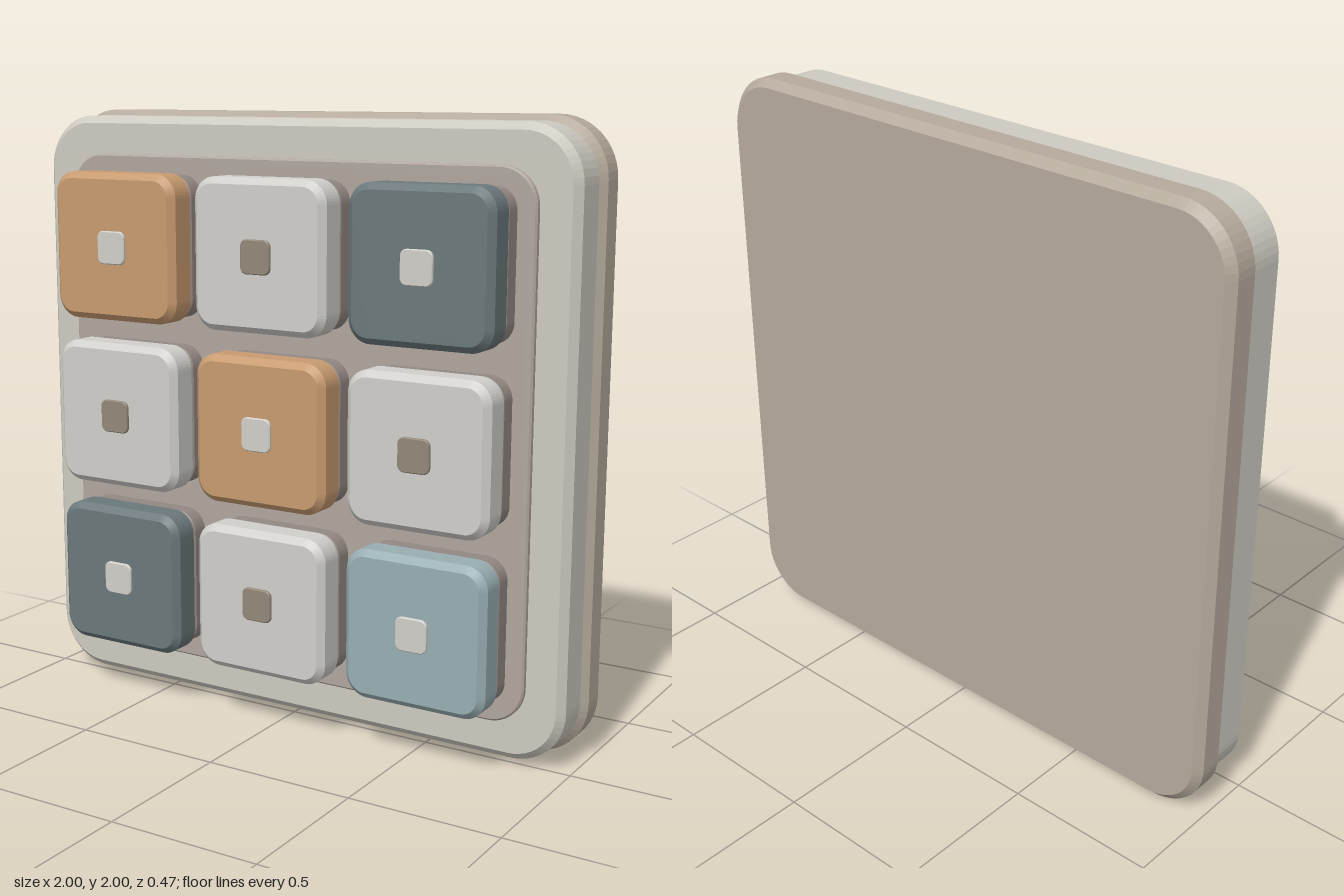
import * as THREE from 'three';

const paint = (color) => new THREE.MeshStandardMaterial({ color });
const COLORS = {
  orange: paint(0xc89b70), light: paint(0xd0cfcb), dark: paint(0x6b787b), blue: paint(0x98aeb2),
  frame: paint(0xcccac0), base: paint(0xb5aa9c), panel: paint(0xb0a69f),
  plinth: paint(0x938883), pipDark: paint(0x938779), pipLight: paint(0xd0cfc8),
};

// Square outline with rounded corners
function roundedSquare(half, r) {
  const s = new THREE.Shape();
  const c = half - r;
  s.absarc(c, c, r, 0, Math.PI / 2);
  s.absarc(-c, c, r, Math.PI / 2, Math.PI);
  s.absarc(-c, -c, r, Math.PI, Math.PI * 1.5);
  s.absarc(c, -c, r, Math.PI * 1.5, Math.PI * 2);
  s.closePath();
  return s;
}

// Chamfered plate between two depths; half is its full outer half width
function plate(name, half, radius, zBack, zFront, bevel, material) {
  const geo = new THREE.ExtrudeGeometry(roundedSquare(half - bevel, radius - bevel), {
    depth: zFront - zBack - 2 * bevel,
    bevelEnabled: true, bevelSize: bevel, bevelThickness: bevel, bevelSegments: 1,
    curveSegments: 6,
  });
  geo.translate(0, 0, zBack + bevel);
  const mesh = new THREE.Mesh(geo, material);
  mesh.name = name;
  return mesh;
}

export function createModel() {
  const model = new THREE.Group();
  model.name = 'tileBoard';

  // Stacked backing, frame and inset panel
  const board = new THREE.Group();
  board.name = 'board';
  board.position.y = 1;
  board.add(
    plate('backPlate', 1, 0.19, -0.235, -0.107, 0.026, COLORS.base),
    plate('frontFrame', 0.982, 0.18, -0.13, 0.03, 0.024, COLORS.frame),
    plate('panel', 0.857, 0.12, 0.01, 0.05, 0.006, COLORS.panel),
  );
  model.add(board);

  // Three by three raised tiles, top row first
  const rows = [
    ['orange', 'light', 'dark'],
    ['light', 'orange', 'light'],
    ['dark', 'light', 'blue'],
  ];
  const pitch = 0.561;
  rows.forEach((row, j) => row.forEach((color, i) => {
    const tile = new THREE.Group();
    tile.name = `tile${j * 3 + i + 1}`;
    tile.position.set((i - 1) * pitch, 1.002 + (1 - j) * pitch, 0);
    const pip = color === 'light' ? COLORS.pipDark : COLORS.pipLight;
    tile.add(
      plate('plinth', 0.234, 0.07, 0.04, 0.112, 0.008, COLORS.plinth),
      plate('cap', 0.242, 0.075, 0.106, 0.225, 0.021, COLORS[color]),
      plate('pip', 0.054, 0.022, 0.215, 0.235, 0.003, pip),
    );
    model.add(tile);
  }));

  return model;
}
